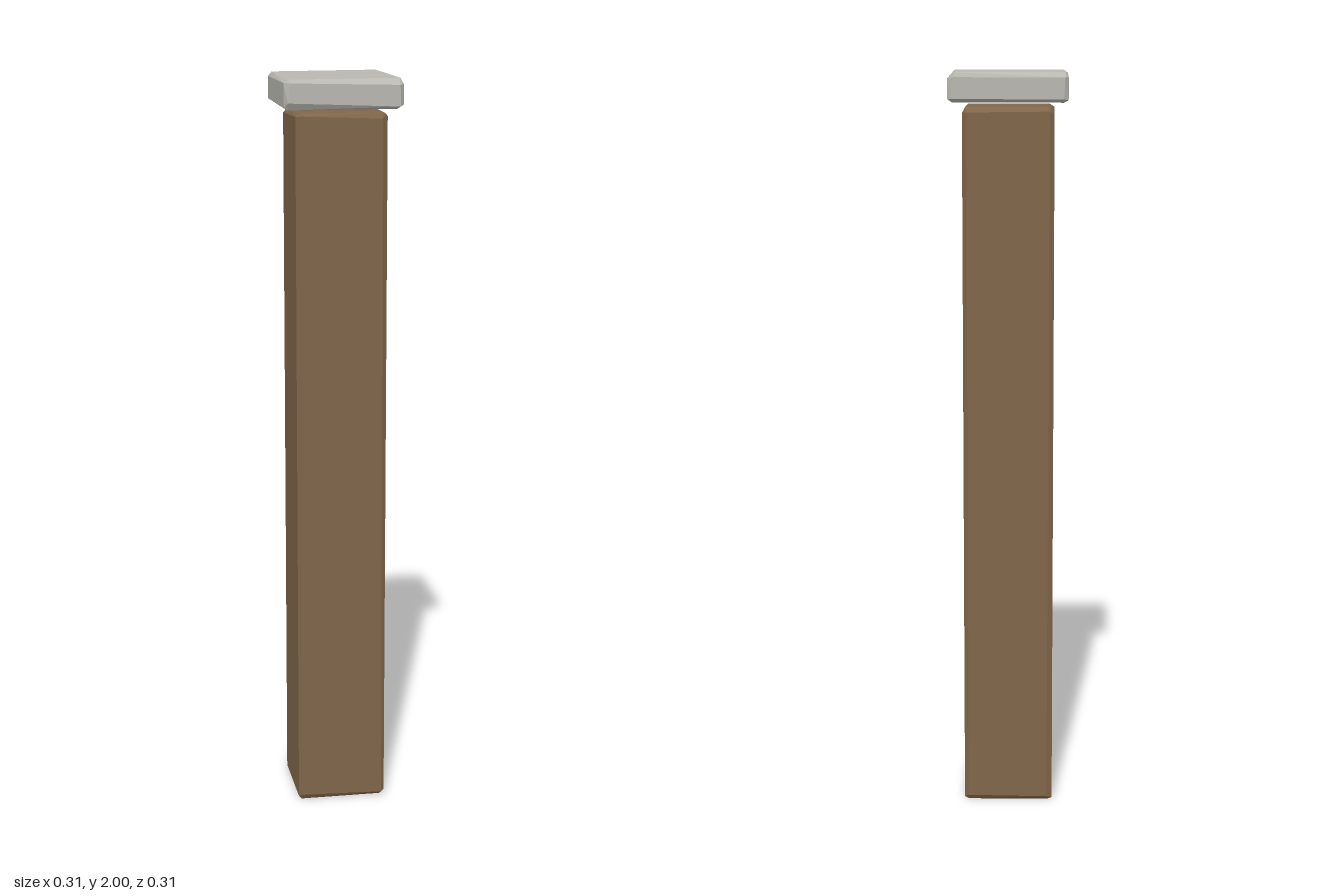
import * as THREE from 'three';
import { ConvexGeometry } from 'three/addons/geometries/ConvexGeometry.js';

// Small seeded generator for the hand-hewn edges
function seeded(seed) {
  return () => {
    seed = (seed * 16807) % 2147483647;
    return seed / 2147483647;
  };
}

// Box with uneven chamfers: every corner is cut into one point per adjoining face.
// topInsets optionally fixes the [x, z] insets of the top face at each corner.
function hewnBox(width, height, depth, bevel, seed, topInsets = {}) {
  const random = seeded(seed);
  const inset = () => bevel * (0.5 + random());
  const half = new THREE.Vector3(width / 2, height / 2, depth / 2);
  const points = [];
  for (const sx of [-1, 1]) for (const sy of [-1, 1]) for (const sz of [-1, 1]) {
    const sign = new THREE.Vector3(sx, sy, sz);
    for (let axis = 0; axis < 3; axis++) {
      const p = half.clone();
      for (let other = 0; other < 3; other++) {
        if (other !== axis) p.setComponent(other, p.getComponent(other) - inset());
      }
      const fixed = topInsets[`${sx},${sz}`];
      if (axis === 1 && sy === 1 && fixed) {
        p.x = half.x - fixed[0];
        p.z = half.z - fixed[1];
      }
      points.push(p.multiply(sign));
    }
  }
  return new ConvexGeometry(points);
}

export function createModel() {
  const wood = new THREE.MeshStandardMaterial({ color: 0x80664a, flatShading: true });
  wood.name = 'brown wood';
  const stone = new THREE.MeshStandardMaterial({ color: 0xb8b7b0, flatShading: true });
  stone.name = 'pale grey stone';

  const model = new THREE.Group();
  model.name = 'post';

  // Tall square shaft
  const shaft = new THREE.Mesh(hewnBox(0.242, 1.91, 0.242, 0.011, 71), wood);
  shaft.name = 'shaft';
  shaft.position.y = 0.955;

  // Overhanging cap, floating just clear of the shaft
  const cap = new THREE.Mesh(hewnBox(0.314, 0.078, 0.314, 0.013, 1234, {
    '-1,-1': [0.009, 0.022],
    '1,-1': [0.019, 0.006],
    '1,1': [0.007, 0.028],
    '-1,1': [0.012, 0.01],
  }), stone);
  cap.name = 'cap';
  cap.position.y = 1.961;

  model.add(shaft, cap);
  return model;
}
